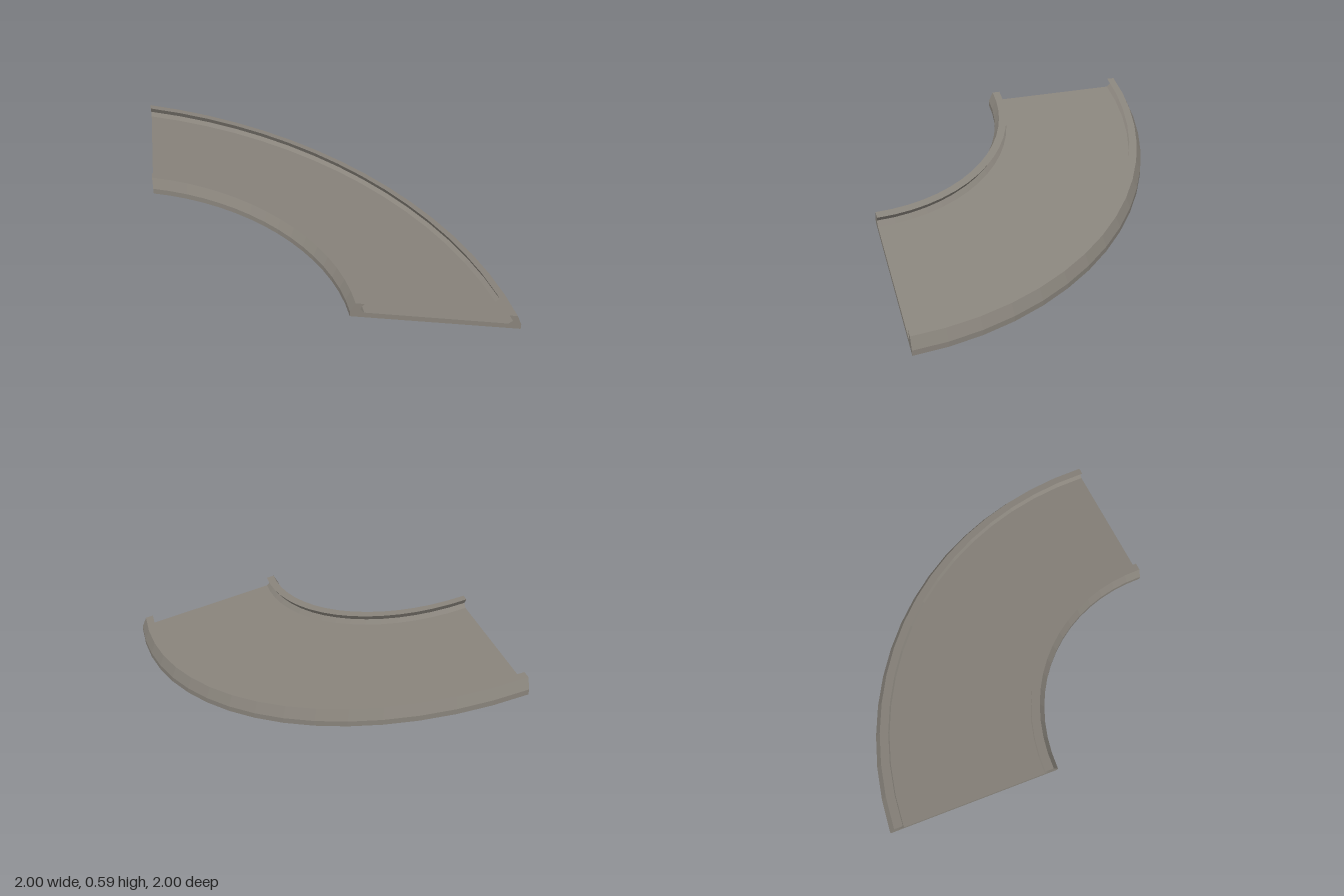
import * as THREE from 'three';

const SEGMENTS = 16;   // facets around the quarter turn
const SLOPE = 0.25;    // height lost per unit of x

// Point on the sloping quarter ring: radius r, height h above the base, angle a
function place(r, h, a) {
  const x = -1 + r * Math.cos(a);
  return [x, h + SLOPE * (1 - x), 1 - r * Math.sin(a)];
}

// Sweeps a counterclockwise (radius, height) profile round the turn, leaving out skipped edges
function sweep(profile, skip) {
  const pos = [];
  const n = profile.length;
  const at = (i, a) => place(profile[i][0], profile[i][1], a);
  const tri = (...points) => points.forEach((p) => pos.push(...p));

  for (let s = 0; s < SEGMENTS; s++) {
    const a0 = (s / SEGMENTS) * Math.PI / 2;
    const a1 = ((s + 1) / SEGMENTS) * Math.PI / 2;
    for (let i = 0; i < n; i++) {
      if (skip.includes(i)) continue;
      const j = (i + 1) % n;
      tri(at(i, a0), at(i, a1), at(j, a1));
      tri(at(i, a0), at(j, a1), at(j, a0));
    }
  }

  // End caps
  const contour = profile.map(([r, h]) => new THREE.Vector2(r, h));
  for (const [a, b, c] of THREE.ShapeUtils.triangulateShape(contour, [])) {
    tri(at(a, 0), at(b, 0), at(c, 0));
    const e = Math.PI / 2;
    tri(at(a, e), at(c, e), at(b, e));
  }

  const geometry = new THREE.BufferGeometry();
  geometry.setAttribute('position', new THREE.Float32BufferAttribute(pos, 3));
  geometry.computeVertexNormals();
  return geometry;
}

export function createModel() {
  const group = new THREE.Group();
  group.name = 'curvedRamp';
  const stone = new THREE.MeshStandardMaterial({ color: 0x88837b });
  stone.name = 'warm grey';

  const add = (name, profile, skip) => {
    const mesh = new THREE.Mesh(sweep(profile, skip), stone);
    mesh.name = name;
    group.add(mesh);
  };

  // Flat deck between the rails
  add('deck', [[1.08, 0], [1.92, 0], [1.92, 0.033], [1.08, 0.033]], [1, 3]);

  // Rail with a sloping outer wall and a notch under its inner lip
  const rail = [
    [1.08, 0.033], [1.055, 0.056], [1.08, 0.094],
    [1.03, 0.094], [1, 0.033], [1, 0], [1.08, 0],
  ];
  add('innerRail', rail, [6]);
  add('outerRail', rail.map(([r, h]) => [3 - r, h]).reverse(), [6]);

  return group;
}
